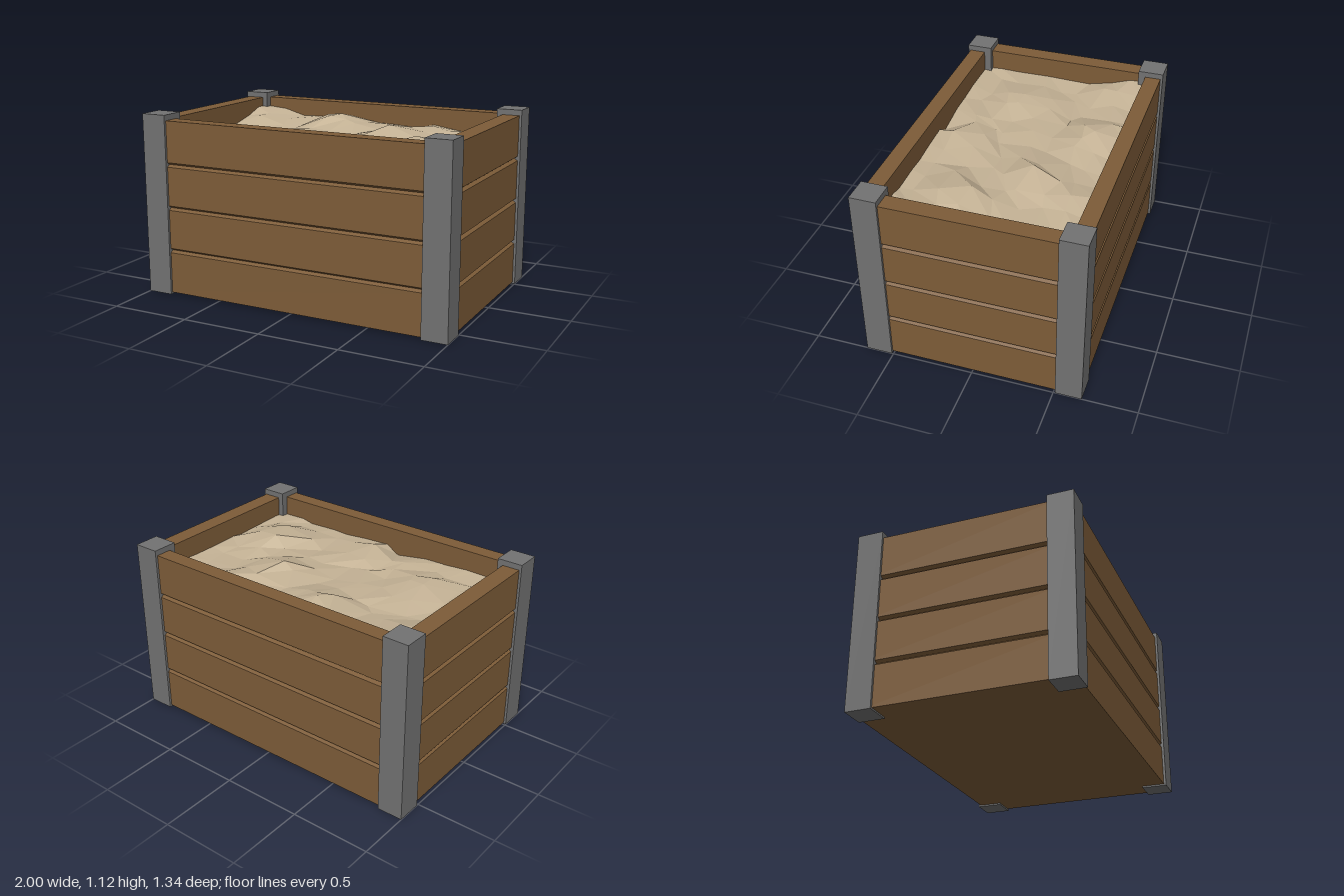
import * as THREE from 'three';

const wood = new THREE.MeshStandardMaterial({ color: 0x7d5c38, flatShading: true });
const metal = new THREE.MeshStandardMaterial({ color: 0x727272, flatShading: true });
const stone = new THREE.MeshStandardMaterial({ color: 0xc4b295, flatShading: true, side: THREE.DoubleSide });

function box(name, w, h, d, x, y, z, mat) {
  const m = new THREE.Mesh(new THREE.BoxGeometry(w, h, d), mat);
  m.name = name;
  m.position.set(x, y, z);
  return m;
}

// Plank wall: outer face at local x = 0 with V grooves, extruded along its length
function wall(name, length, thickness, x, z, angle) {
  const s = new THREE.Shape();
  s.moveTo(-thickness, 0.01);
  s.lineTo(0, 0.01);
  for (let i = 0; i < 3; i++) {
    const y = 0.28 + i * 0.27;
    s.lineTo(0, y - 0.014);
    s.lineTo(-0.02, y);
    s.lineTo(0, y + 0.014);
  }
  s.lineTo(0, 1.09);
  s.lineTo(-thickness, 1.09);
  s.closePath();
  const geo = new THREE.ExtrudeGeometry(s, { depth: length, bevelEnabled: false });
  geo.translate(0, 0, -length / 2);
  const m = new THREE.Mesh(geo, wood);
  m.name = name;
  m.position.set(x, 0, z);
  m.rotation.y = angle;
  return m;
}

// Faceted rubble filling the box: jittered grid raised by a few peaks
function rubble() {
  let seed = 17;
  const rand = () => (seed = (seed * 16807) % 2147483647) / 2147483647 - 0.5;
  const W = 1.76, D = 1.13, nx = 12, nz = 8;
  // x, z, height, radius
  const peaks = [
    [-0.82, -0.5, 0.09, 0.35], [-0.2, -0.42, 0.1, 0.32], [0.57, 0.2, 0.1, 0.3],
    [0.3, -0.14, 0.09, 0.24], [-0.5, 0.15, 0.06, 0.25], [-0.02, 0.42, 0.06, 0.25],
    [0.42, -0.42, 0.06, 0.2], [0.45, 0.05, -0.06, 0.15], [-0.1, 0.54, -0.07, 0.12],
  ];
  const geo = new THREE.PlaneGeometry(W, D, nx, nz).rotateX(-Math.PI / 2);
  const p = geo.attributes.position;
  for (let i = 0; i < p.count; i++) {
    let x = p.getX(i), z = p.getZ(i);
    const jx = rand() * 0.1, jz = rand() * 0.1;
    if (Math.abs(x) < W / 2 - 0.01) x += jx;
    if (Math.abs(z) < D / 2 - 0.01) z += jz;
    let y = 0.955 + rand() * 0.025;
    for (const [px, pz, h, r] of peaks) y += h * Math.max(0, 1 - Math.hypot(x - px, z - pz) / r);
    p.setXYZ(i, x, Math.min(y, 1.06), z);
  }
  const m = new THREE.Mesh(geo, stone);
  m.name = 'rubble';
  return m;
}

export function createModel() {
  const g = new THREE.Group();
  g.name = 'crate';

  // Corner posts
  for (const x of [-1, 1]) for (const z of [-1, 1]) {
    g.add(box((z > 0 ? 'front' : 'back') + (x > 0 ? 'Left' : 'Right') + 'Post',
      0.16, 1.125, 0.16, x * 0.92, 0.5625, z * 0.59, metal));
  }

  // Walls
  g.add(wall('leftWall', 1.12, 0.11, 0.985, 0, 0));
  g.add(wall('rightWall', 1.12, 0.11, -0.985, 0, Math.PI));
  g.add(wall('frontWall', 1.76, 0.1, 0, 0.655, -Math.PI / 2));
  g.add(wall('backWall', 1.76, 0.1, 0, -0.655, Math.PI / 2));

  // Floor and contents
  g.add(box('floor', 1.77, 0.06, 1.13, 0, 0.04, 0, wood));
  g.add(rubble());
  return g;
}
